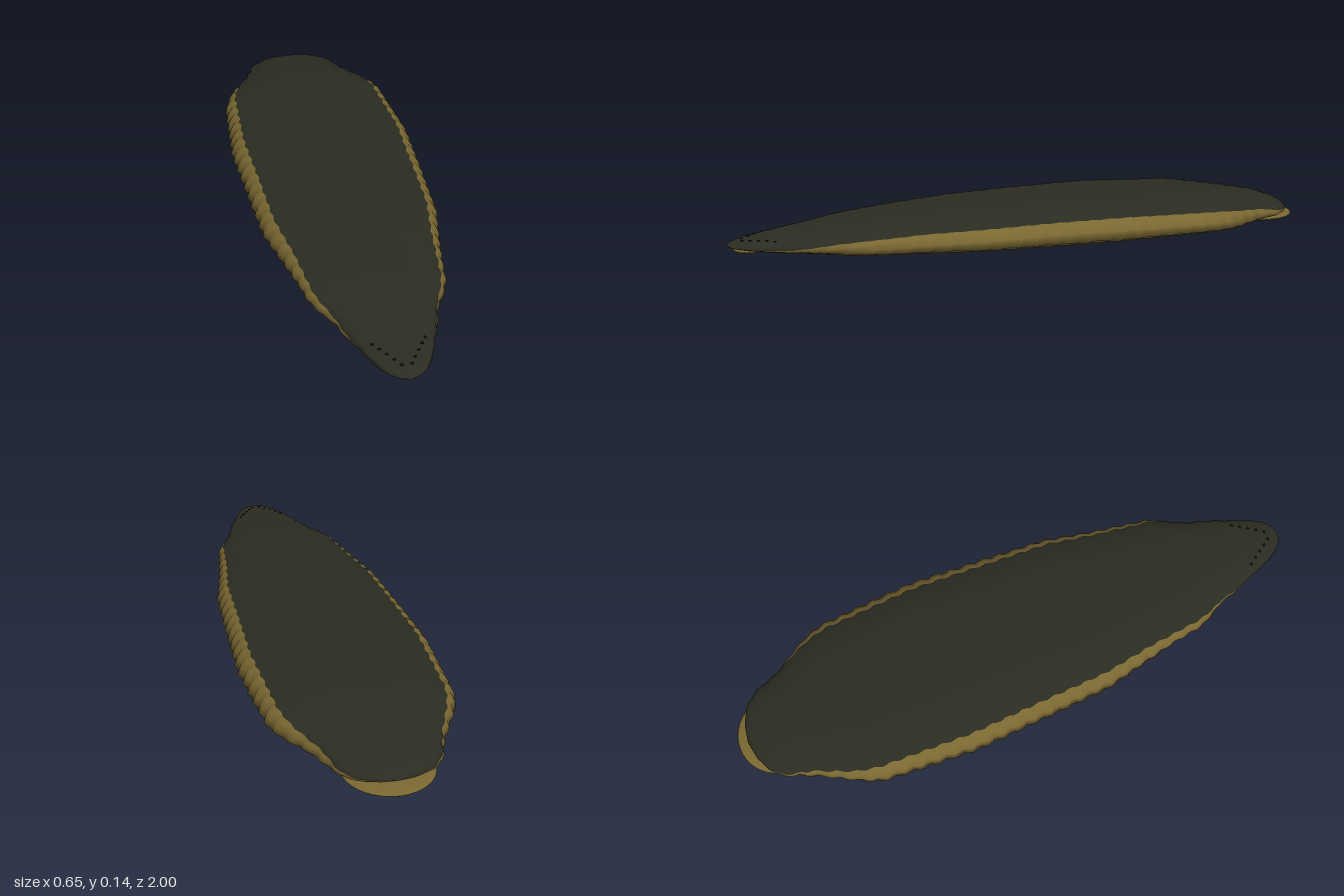
import * as THREE from 'three';

// Stations along the body: z, half width, underside y, top y, section position of the colour border
const STATIONS = [
  [-0.966, 0, 0.05, 0.05, 3], [-0.955, 0.065, 0.042, 0.064, 3.1], [-0.93, 0.118, 0.032, 0.077, 3.3],
  [-0.89, 0.158, 0.022, 0.09, 3.6], [-0.8, 0.192, 0.013, 0.107, 4.1], [-0.67, 0.272, 0.007, 0.124, 4.6],
  [-0.6, 0.298, 0.005, 0.131, 4.75], [-0.27, 0.32, 0.003, 0.144, 4.85], [0, 0.305, 0.003, 0.141, 4.85],
  [0.22, 0.292, 0.005, 0.134, 4.8], [0.4, 0.254, 0.008, 0.125, 4.7], [0.6, 0.218, 0.014, 0.11, 4.4],
  [0.7, 0.165, 0.02, 0.098, 3.8], [0.8, 0.132, 0.027, 0.086, 3.3], [0.9, 0.092, 0.034, 0.073, 3.1],
  [0.96, 0.062, 0.041, 0.065, 3], [0.985, 0.035, 0.045, 0.058, 3], [1, 0, 0.05, 0.05, 3],
];
// Half cross-section from belly centre to back centre: x / half width, height fraction
const SECTION = [[0, 0], [0.4, 0.02], [0.76, 0.11], [1, 0.31], [0.955, 0.63], [0.85, 0.77], [0.62, 0.92], [0.33, 0.985], [0, 1]];

const mix = (a, b, t) => a.map((v, i) => v + (b[i] - v) * t);

function stationAt(z) {
  let i = 0;
  while (i < STATIONS.length - 2 && STATIONS[i + 1][0] < z) i++;
  const a = STATIONS[i], b = STATIONS[i + 1];
  return mix(a, b, (z - a[0]) / (b[0] - a[0]));
}

function sectionAt(u) {
  const i = Math.min(Math.floor(u), SECTION.length - 2);
  return mix(SECTION[i], SECTION[i + 1], u - i);
}

function bodyGeometry() {
  const rows = 200, half = 16, ring = half * 2, border = 8;
  const positions = [], belly = [], back = [];
  for (let i = 0; i <= rows; i++) {
    // Rows crowd together at both ends to round them
    const z = 0.017 - 0.983 * Math.cos((Math.PI * i) / rows);
    const [, w, low, high, split] = stationAt(z);
    const ripple = 1 + 0.014 * Math.cos((z * Math.PI * 2) / 0.058);
    for (let j = 0; j < ring; j++) {
      const k = j <= half ? j : ring - j;
      const u = k <= border ? (split * k) / border : split + ((8 - split) * (k - border)) / (half - border);
      const [x, y] = sectionAt(u);
      positions.push((j <= half ? 1 : -1) * x * w * ripple, low + (high - low) * y, z);
    }
  }
  for (let i = 0; i < rows; i++) {
    for (let j = 0; j < ring; j++) {
      const n = (j + 1) % ring;
      const a = i * ring + j, b = i * ring + n, c = a + ring, d = b + ring;
      (j >= border && j < ring - border ? back : belly).push(a, b, c, b, d, c);
    }
  }
  const geometry = new THREE.BufferGeometry();
  geometry.setAttribute('position', new THREE.Float32BufferAttribute(positions, 3));
  geometry.setIndex([...belly, ...back]);
  geometry.addGroup(0, belly.length, 0);
  geometry.addGroup(belly.length, back.length, 1);
  geometry.computeVertexNormals();
  return geometry;
}

export function createModel() {
  const group = new THREE.Group();
  const material = (name, color) => {
    const m = new THREE.MeshStandardMaterial({ color });
    m.name = name;
    return m;
  };
  const olive = material('olive belly', 0x7a6832);
  const dark = material('dark back', 0x2b2c21);
  const black = material('eye black', 0x0c0c0a);

  const add = (name, geometry, mat, x, y, z) => {
    const mesh = new THREE.Mesh(geometry, mat);
    mesh.name = name;
    mesh.position.set(x, y, z);
    group.add(mesh);
  };

  // Ringed, flattened body with a dark back and olive belly
  add('body', bodyGeometry(), [olive, dark], 0, 0, 0);

  // Suckers beneath both ends
  const disc = (r, h) => new THREE.SphereGeometry(1, 40, 16).scale(r, h, r);
  add('rearSucker', disc(0.14, 0.013), olive, 0, 0.022, -0.86);
  add('mouthSucker', disc(0.053, 0.008), olive, 0, 0.035, 0.925);

  // Five pairs of tiny eyes in an arc on the head
  const eye = new THREE.SphereGeometry(0.005, 10, 8).scale(1, 0.5, 1);
  for (let i = 0; i < 5; i++) {
    const x = 0.015 + i * 0.016, z = 0.95 - i * 0.024;
    const [, w, low, high] = stationAt(z);
    // Height of the back at this distance from the midline
    let u = 8;
    while (u > 3 && sectionAt(u)[0] * w < x) u -= 0.05;
    const y = low + (high - low) * sectionAt(u)[1];
    for (const side of [1, -1]) add(side > 0 ? 'leftEye' : 'rightEye', eye, black, side * x, y, z);
  }
  return group;
}
